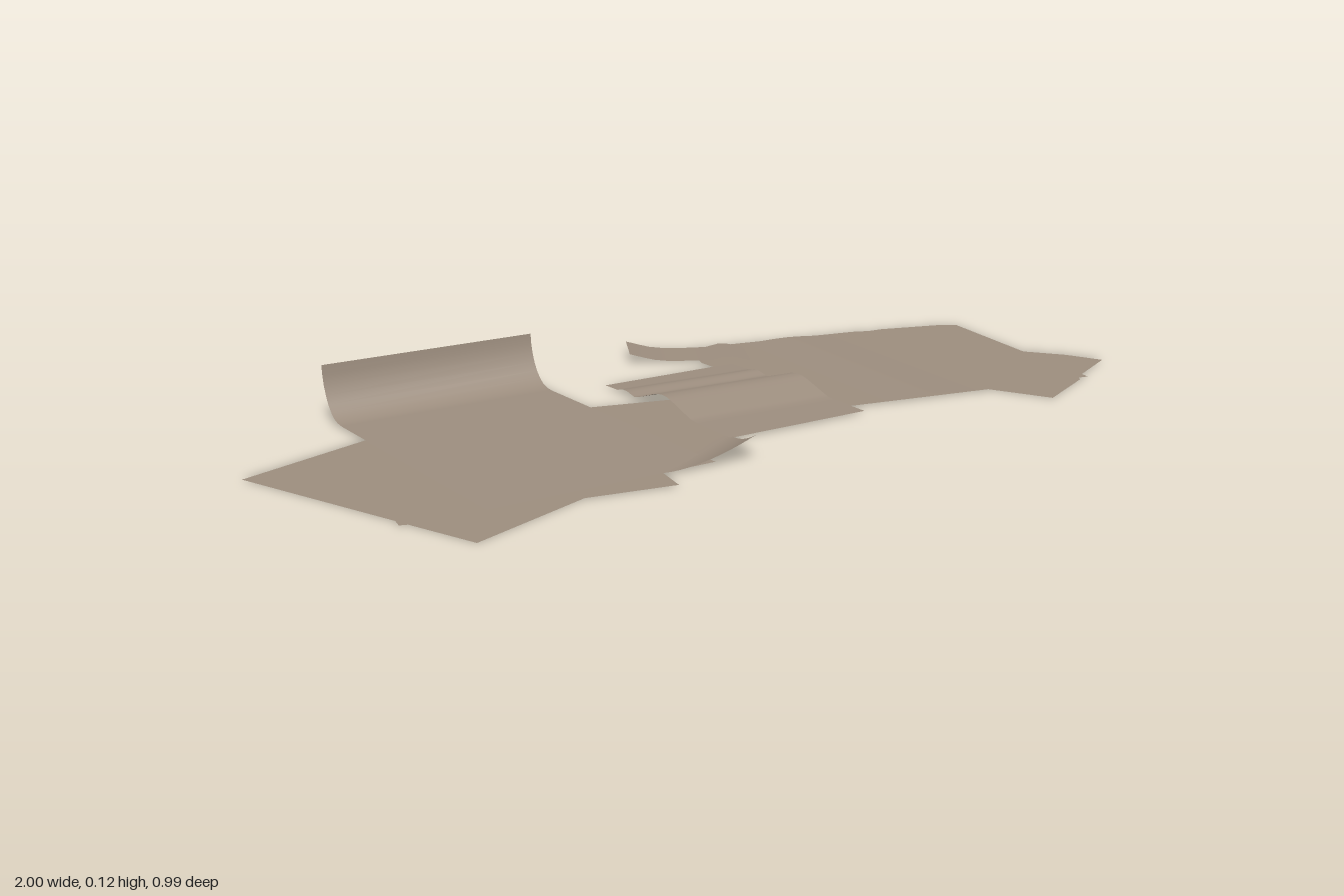
import * as THREE from 'three';

const card = new THREE.MeshStandardMaterial({ color: 0x9c8d7e, side: THREE.DoubleSide });
card.name = 'cardboard';

const clamp = (t) => Math.min(1, Math.max(0, t));

// Piecewise-linear lookup in a list of [position, height] points
function profile(points, t) {
  if (t <= points[0][0]) return points[0][1];
  for (let i = 1; i < points.length; i++) {
    const [a, ya] = points[i - 1], [b, yb] = points[i];
    if (t <= b) return ya + (yb - ya) * (t - a) / (b - a);
  }
  return points[points.length - 1][1];
}

// Bent sheet: a grid over four [x, z] corners (back left, back right,
// front right, front left), lifted by height(x, z, u, v)
function bentSheet(name, [bl, br, fr, fl], us, vs, height) {
  const pos = [], idx = [], n = us.length;
  for (const v of vs) for (const u of us) {
    const [x, z] = [0, 1].map((k) =>
      (1 - v) * ((1 - u) * bl[k] + u * br[k]) + v * ((1 - u) * fl[k] + u * fr[k]));
    pos.push(x, height(x, z, u, v), z);
  }
  for (let j = 0; j < vs.length - 1; j++) for (let i = 0; i < n - 1; i++) {
    const a = j * n + i;
    idx.push(a, a + n, a + 1, a + 1, a + n, a + n + 1);
  }
  const g = new THREE.BufferGeometry();
  g.setAttribute('position', new THREE.Float32BufferAttribute(pos, 3));
  g.setIndex(idx);
  g.computeVertexNormals();
  const mesh = new THREE.Mesh(g, card);
  mesh.name = name;
  return mesh;
}

// Flat sheet lying at height y, cut to an [x, z] outline
function flatSheet(name, outline, y) {
  const shape = new THREE.Shape(outline.map(([x, z]) => new THREE.Vector2(x, -z)));
  const g = new THREE.ShapeGeometry(shape);
  g.rotateX(-Math.PI / 2);
  g.translate(0, y, 0);
  const mesh = new THREE.Mesh(g, card);
  mesh.name = name;
  return mesh;
}

const steps = (n) => Array.from({ length: n + 1 }, (_, i) => i / n);

export function createModel() {
  const model = new THREE.Group();
  model.name = 'cardboardScraps';

  // Left end: slanted sheet with a small nick in its outer edge
  model.add(flatSheet('leftSlantedSheet', [
    [-1, -0.065], [-0.4, -0.275], [-0.3, 0.0], [-0.3, 0.31], [-0.54, 0.395], [-0.8, 0.49],
    [-0.855, 0.34], [-0.87, 0.335], [-0.865, 0.31],
  ], 0.001));
  model.add(flatSheet('leftFrontSheet', [
    [-0.63, -0.08], [-0.25, -0.01], [-0.335, 0.355], [-0.35, 0.43], [-0.72, 0.362],
  ], 0.003));

  // Sheet whose back edge curls upright
  const curl = [[-0.36, 0.117], [-0.358, 0.095], [-0.353, 0.075], [-0.345, 0.055], [-0.335, 0.038],
    [-0.322, 0.024], [-0.307, 0.013], [-0.29, 0.008], [-0.27, 0.006], [0.355, 0.004]];
  const curlV = curl.map(([z]) => (z + 0.36) / 0.715);
  model.add(bentSheet('curledBackSheet',
    [[-0.71, -0.36], [-0.215, -0.36], [-0.215, 0.355], [-0.71, 0.355]],
    [0, 1], curlV, (x, z) => profile(curl, z)));

  // Sheet with one lifted front corner
  model.add(bentSheet('liftedCornerSheet',
    [[-0.36, -0.15], [0, -0.055], [-0.138, 0.39], [-0.42, 0.343]],
    steps(24), steps(32), (x, z) => {
      const s = clamp(1 - ((-0.138 - x) * 0.5 + (0.39 - z) * 0.87) / 0.12);
      return 0.004 + 0.053 * s ** 1.7;
    }));

  // Bridge with a sharp ridge and a small ripple, slightly skewed
  const ridge = [[-0.24, 0.006], [-0.18, 0.007], [-0.155, 0.013], [-0.14, 0.013], [-0.11, 0.007],
    [-0.09, 0.011], [-0.02, 0.034], [0, 0.037], [0.02, 0.036], [0.04, 0.031],
    [0.11, 0.009], [0.13, 0.007], [0.245, 0.005]];
  model.add(bentSheet('ridgedBridge',
    [[-0.095, -0.24], [0.247, -0.24], [0.247, 0.245], [-0.1, 0.245]],
    steps(4), steps(97), (x, z) => profile(ridge, z - (x - 0.08) * 0.06)));

  // Right end: overlapping flat sheets with worn edges
  model.add(flatSheet('rightBackSheet', [
    [0.2, -0.29], [0.25, -0.425], [0.69, -0.335], [0.73, -0.318], [0.77, -0.315], [0.92, -0.267],
    [0.955, -0.24], [0.9, 0.04], [0.85, 0.31], [0.6, 0.265], [0.25, 0.195], [0.2, 0.185],
  ], 0.004));
  model.add(flatSheet('rightFrontSheet', [
    [0.52, 0.1], [0.87, -0.045], [0.9, 0.04], [0.965, 0.13], [1, 0.213], [0.84, 0.29],
    [0.825, 0.31], [0.66, 0.387], [0.6, 0.265],
  ], 0.001));

  // Soft wave in the right sheet
  model.add(bentSheet('rightWave',
    [[0.4, -0.39], [0.62, -0.345], [0.56, 0.25], [0.34, 0.21]],
    steps(12), steps(2), (x, z, u) => 0.0042 + 0.004 * Math.sin(Math.PI * u) ** 2));

  // Narrow strip with a raised tip and a ripple
  const strip = [[0, 0.026], [0.1, 0.018], [0.2, 0.011], [0.32, 0.007], [0.55, 0.006],
    [0.68, 0.007], [0.78, 0.014], [0.86, 0.014], [1, 0.004]];
  model.add(bentSheet('curledStrip',
    [[0.12, -0.495], [0.37, -0.362], [0.31, -0.25], [0.06, -0.383]],
    strip.map(([u]) => u), [0, 1], (x, z, u) => profile(strip, u)));

  return model;
}
